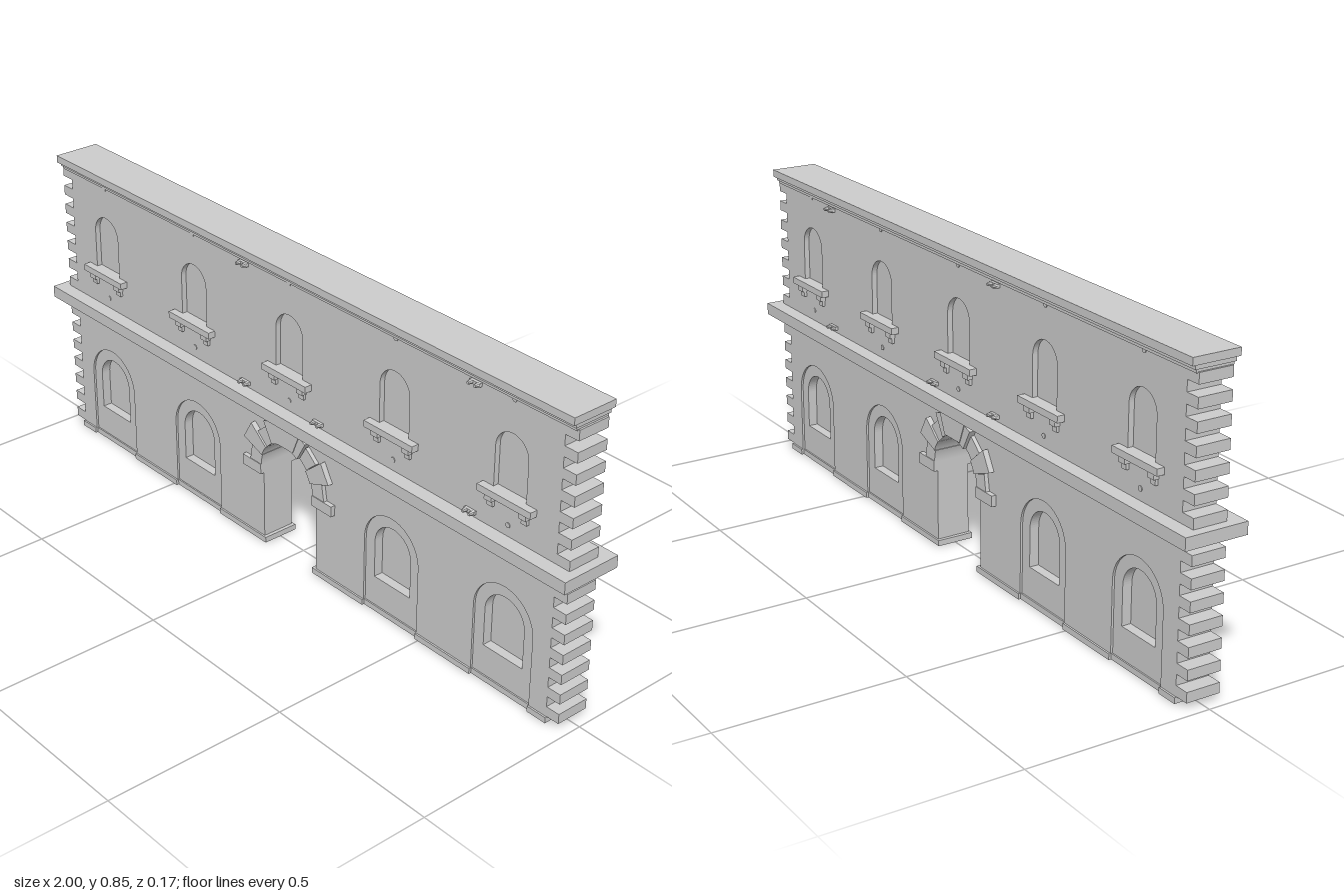
import * as THREE from 'three';

const mat = new THREE.MeshStandardMaterial({ color: 0xcccccc, flatShading: true });
const W = 0.935, H = 0.83, T = 0.047;          // wall half width, height, half thickness
const DOOR = { x: 0, r: 0.105, spring: 0.24 };
const LOWER = [-0.78, -0.39, 0.39, 0.78];
const UPPER = [-0.78, -0.39, 0, 0.39, 0.78];

export function createModel() {
  const model = new THREE.Group();
  model.name = 'arcadedWall';

  const add = (name, geo, x = 0, y = 0, z = 0, parent = model) => {
    const m = new THREE.Mesh(geo, mat);
    m.name = name;
    m.position.set(x, y, z);
    parent.add(m);
    return m;
  };
  // Box given by its limits
  const box = (name, x0, x1, y0, y1, z0, z1, parent) =>
    add(name, new THREE.BoxGeometry(x1 - x0, y1 - y0, z1 - z0),
      (x0 + x1) / 2, (y0 + y1) / 2, (z0 + z1) / 2, parent);
  const extrude = (name, shape, z0, z1, parent) =>
    add(name, new THREE.ExtrudeGeometry(shape, { depth: z1 - z0, bevelEnabled: false, curveSegments: 16 }),
      0, 0, z0, parent);

  // Wall outline with round-headed notches rising from the ground
  const outline = (notches) => {
    const s = new THREE.Shape();
    s.moveTo(-W, 0);
    for (const { x, r, spring } of [...notches].sort((a, b) => a.x - b.x)) {
      s.lineTo(x - r, 0);
      s.lineTo(x - r, spring);
      s.absarc(x, spring, r, Math.PI, 0, true);
      s.lineTo(x + r, 0);
    }
    s.lineTo(W, 0);
    s.lineTo(W, H);
    s.lineTo(-W, H);
    s.closePath();
    return s;
  };
  // Round-headed window hole
  const windowHole = (x, r, y0, spring) => {
    const p = new THREE.Path();
    p.moveTo(x - r, y0);
    p.lineTo(x + r, y0);
    p.lineTo(x + r, spring);
    p.absarc(x, spring, r, 0, Math.PI, false);
    p.closePath();
    return p;
  };
  const lowerHoles = LOWER.map((x) => windowHole(x, 0.065, 0.1, 0.205));
  const upperHoles = UPPER.map((x) => windowHole(x, 0.052, 0.552, 0.663));
  const panels = LOWER.map((x) => ({ x, r: 0.098, spring: 0.205 }));

  // Wall in layers, so that windows and arched panels step back from the face
  const layer = (notches, holes) => {
    const s = outline(notches);
    s.holes.push(...holes);
    return s;
  };
  const layers = [
    ['windowLayer', layer([DOOR], lowerHoles), 0.015, 0.032],
    ['upperWindowLayer', layer([DOOR], [...lowerHoles, ...upperHoles]), 0.032, 0.041],
    ['wallFace', layer([DOOR, ...panels], upperHoles), 0.041, T],
  ];
  extrude('wallCore', outline([DOOR]), -0.015, 0.015);

  // Details repeated on the front and, mirrored in z, on the back
  for (const side of [1, -1]) {
    const zBox = (name, x0, x1, y0, y1, za, zb) =>
      box(name, x0, x1, y0, y1, Math.min(za * side, zb * side), Math.max(za * side, zb * side));
    for (const [name, shape, a, b] of layers)
      side > 0 ? extrude(name, shape, a, b) : extrude(name, shape, -b, -a);

    for (const x of UPPER) {
      // Sill on two stepped brackets
      zBox('windowSill', x - 0.086, x + 0.086, 0.536, 0.554, 0.03, 0.068);
      for (const dx of [-0.055, 0.055]) {
        zBox('sillBracket', x + dx - 0.012, x + dx + 0.012, 0.519, 0.536, 0.04, 0.062);
        zBox('sillBracketFoot', x + dx - 0.009, x + dx + 0.009, 0.503, 0.519, 0.04, 0.055);
      }
      // Round tie plates
      for (const y of [0.803, 0.473]) {
        const plate = add('tiePlate', new THREE.CylinderGeometry(0.007, 0.007, 0.004, 10), x, y, side * T);
        plate.rotation.x = Math.PI / 2;
      }
    }
    // Small fixings above the mouldings
    for (const [x, y] of [[-0.175, 0.797], [0.66, 0.797], [-0.175, 0.457], [0.115, 0.457], [0.66, 0.457]]) {
      zBox('fixingBase', x - 0.017, x + 0.017, y - 0.005, y + 0.005, T, 0.055);
      for (const dx of [-0.011, 0.011]) {
        const peg = add('fixingPeg', new THREE.CylinderGeometry(0.004, 0.007, 0.012, 8), x + dx, y, side * 0.06);
        peg.rotation.x = side * Math.PI / 2;
      }
    }
  }

  // Plinth, set back across the arched panels
  for (const s of [1, -1]) {
    const edges = [0.095, 0.292, 0.488, 0.682, 0.878, W + 0.003];
    for (let i = 0; i < 5; i++) {
      const a = s * edges[i], b = s * edges[i + 1], d = i % 2 ? 0.045 : 0.052;
      box('plinth', Math.min(a, b), Math.max(a, b), 0, 0.016, -d, d);
    }
  }

  // Belt course and stepped cornice
  box('beltCourse', -1, 1, 0.41, 0.443, -0.087, 0.087);
  box('corniceTop', -0.975, 0.975, 0.825, 0.845, -0.066, 0.066);
  box('corniceMiddle', -0.972, 0.972, 0.814, 0.825, -0.056, 0.056);
  box('corniceBottom', -0.97, 0.97, 0.805, 0.814, -0.051, 0.051);

  // Toothed corner stones
  for (const s of [1, -1])
    for (const start of [0.017, 0.443])
      for (let k = 0; k < 7; k++) {
        const y = start + k * 0.0562;
        const a = s * W, b = s * 0.975;
        box('cornerStone', Math.min(a, b), Math.max(a, b), y, y + 0.0275, -T, T);
      }

  // Doorway arch: wedge stones of alternating length, keystone and imposts
  const arch = new THREE.Group();
  arch.name = 'doorwayArch';
  model.add(arch);
  const stones = [[10, 0.148, 0.058], [30, 0.18, 0.062], [50, 0.152, 0.058], [70, 0.168, 0.066]];
  const rad = Math.PI / 180, inner = 0.103;
  const wedge = (mid, outer, depth) => {
    const a0 = (mid - 9.6) * rad, a1 = (mid + 9.6) * rad, s = new THREE.Shape();
    s.absarc(0, DOOR.spring, inner, a0, a1, false);
    s.lineTo(outer * Math.cos(a1), DOOR.spring + outer * Math.sin(a1));
    s.lineTo(outer * Math.cos(a0), DOOR.spring + outer * Math.sin(a0));
    s.closePath();
    extrude('archStone', s, -depth, depth, arch);
  };
  for (const [mid, outer, depth] of stones) {
    wedge(mid, outer, depth);
    wedge(180 - mid, outer, depth);
  }
  const key = new THREE.Shape([[-0.036, 0.342], [0.036, 0.342], [0.064, 0.409], [-0.064, 0.409]]
    .map(([x, y]) => new THREE.Vector2(x, y)));
  extrude('keystone', key, -0.068, 0.068, arch);
  for (const s of [1, -1])
    box('impost', s > 0 ? 0.103 : -0.178, s > 0 ? 0.178 : -0.103, 0.213, 0.243, -0.06, 0.06, arch);

  return model;
}
